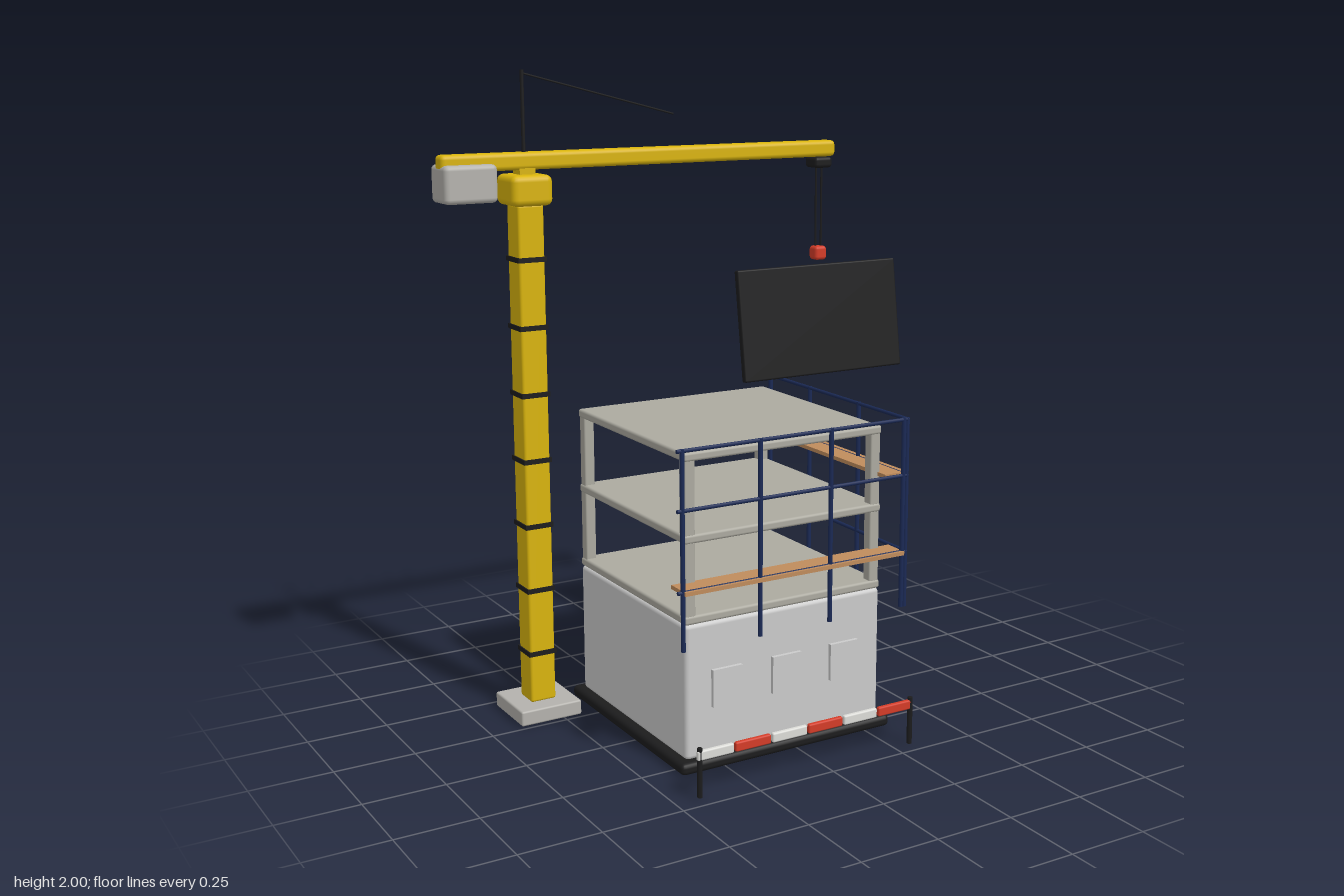
import * as THREE from 'three';
import { RoundedBoxGeometry } from 'three/addons/geometries/RoundedBoxGeometry.js';

function material(name, color) {
  const m = new THREE.MeshStandardMaterial({ color });
  m.name = name;
  return m;
}

export function createModel() {
  const root = new THREE.Group();
  root.name = 'constructionSite';
  const yellow = material('craneYellow', 0xd9b40c);
  const black = material('black', 0x1c1c1d);
  const wall = material('wallGrey', 0xcbcbcb);
  const concrete = material('concrete', 0xacaaa0);
  const weight = material('weightGrey', 0xb4b2ad);
  const navy = material('scaffoldNavy', 0x1b2a56);
  const wood = material('plankWood', 0xc08c5c);
  const red = material('signalRed', 0xd43c28);
  const white = material('barrierWhite', 0xdcdcd8);

  function group(name) {
    const g = new THREE.Group();
    g.name = name;
    root.add(g);
    return g;
  }
  function put(parent, name, geo, mat, x, y, z) {
    const m = new THREE.Mesh(geo, mat);
    m.name = name;
    m.position.set(x, y, z);
    parent.add(m);
    return m;
  }
  // box given by size and centre, with optional rounded edges
  function box(parent, name, mat, w, h, d, x, y, z, r = 0) {
    const geo = r ? new RoundedBoxGeometry(w, h, d, 2, r) : new THREE.BoxGeometry(w, h, d);
    return put(parent, name, geo, mat, x, y, z);
  }
  // round bar between two points
  function bar(parent, name, mat, a, b, r) {
    const from = new THREE.Vector3(...a), to = new THREE.Vector3(...b);
    const dir = to.clone().sub(from);
    const m = put(parent, name, new THREE.CylinderGeometry(r, r, dir.length(), 8), mat,
      ...from.add(to).multiplyScalar(0.5).toArray());
    m.quaternion.setFromUnitVectors(new THREE.Vector3(0, 1, 0), dir.normalize());
    return m;
  }

  // building: foundation, finished storey, open floors on columns
  const building = group('building');
  const bx = -0.03, bz = -0.057;
  box(building, 'foundation', black, 0.735, 0.036, 0.735, bx, 0.018, bz, 0.014);
  box(building, 'groundStorey', wall, 0.68, 0.415, 0.68, bx, 0.24, bz, 0.014);
  for (const x of [-0.235, -0.03, 0.175])
    box(building, 'window', wall, 0.1, 0.115, 0.02, x, 0.243, 0.285);
  for (const y of [0.46, 0.702, 0.943])
    box(building, 'floorSlab', concrete, 0.68, 0.027, 0.68, bx, y, bz, 0.008);
  for (const y of [0.581, 0.823])
    for (const sx of [-1, 1])
      for (const sz of [-1, 1])
        box(building, 'column', concrete, 0.034, 0.226, 0.034, bx + sx * 0.32, y, bz + sz * 0.32, 0.005);

  // scaffold along the front and the left side
  const scaffold = group('scaffold');
  const zf = 0.338, xs = 0.363;
  for (const x of [-0.407, -0.152, 0.09, 0.35])
    bar(scaffold, 'frontPost', navy, [x, 0.395, zf], [x, 0.985, zf], 0.007);
  for (const z of [0.337, 0.083, -0.193, -0.433])
    bar(scaffold, 'sidePost', navy, [xs, 0.395, z], [xs, 0.985, z], 0.007);
  for (const y of [0.57, 0.808, 0.98]) {
    bar(scaffold, 'frontRail', navy, [-0.424, y, zf], [0.367, y, zf], 0.006);
    bar(scaffold, 'sideRail', navy, [xs, y, 0.342], [xs, y, -0.45], 0.006);
  }
  box(scaffold, 'frontPlank', wood, 0.757, 0.012, 0.083, -0.028, 0.568, 0.31);
  box(scaffold, 'sidePlank', wood, 0.083, 0.012, 0.757, 0.339, 0.807, -0.058);

  // tower crane
  const crane = group('crane');
  const mx = -0.545, mz = -0.364;
  box(crane, 'mastFoot', weight, 0.204, 0.048, 0.204, mx, 0.026, mz, 0.006);
  box(crane, 'mast', yellow, 0.084, 1.56, 0.084, mx, 0.828, mz, 0.008);
  for (let i = 0; i < 7; i++)
    box(crane, 'mastBand', black, 0.092, 0.015, 0.092, mx, 0.208 + i * 0.206, mz);
  box(crane, 'slewingHead', yellow, 0.132, 0.092, 0.132, mx, 1.65, mz, 0.02);
  box(crane, 'headNeck', yellow, 0.05, 0.04, 0.05, mx, 1.7, mz);
  box(crane, 'jib', yellow, 1.366, 0.052, 0.056, -0.132, 1.735, mz, 0.014);
  box(crane, 'counterweight', weight, 0.166, 0.112, 0.116, -0.733, 1.676, mz - 0.003, 0.015);
  bar(crane, 'topPole', black, [mx, 1.75, mz], [mx, 2.0, mz], 0.006);
  bar(crane, 'stayCable', black, [mx, 1.99, mz], [-0.04, 1.86, mz], 0.003);

  // hoist and hanging panel
  const hoist = group('hoist');
  box(hoist, 'trolley', black, 0.066, 0.036, 0.07, 0.502, 1.691, mz, 0.012);
  for (const x of [0.492, 0.513])
    bar(hoist, 'hoistRope', black, [x, 1.4, mz], [x, 1.68, mz], 0.0035);
  box(hoist, 'hookBlock', red, 0.045, 0.046, 0.045, 0.502, 1.393, mz, 0.011);
  const panel = box(hoist, 'hangingPanel', black, 0.622, 0.365, 0.024, 0.503, 1.172, -0.35, 0.006);
  panel.rotation.x = -0.14;

  // striped barrier in front
  const barrier = group('barrier');
  for (const x of [-0.424, 0.304])
    bar(barrier, 'barrierPost', black, [x, 0.005, 0.458], [x, 0.153, 0.458], 0.008);
  for (let i = 0; i < 6; i++)
    box(barrier, 'barrierBoard', i % 2 ? red : white, 0.118, 0.029, 0.015,
      -0.374 + i * 0.1235, 0.131, 0.458, 0.005);

  return root;
}
